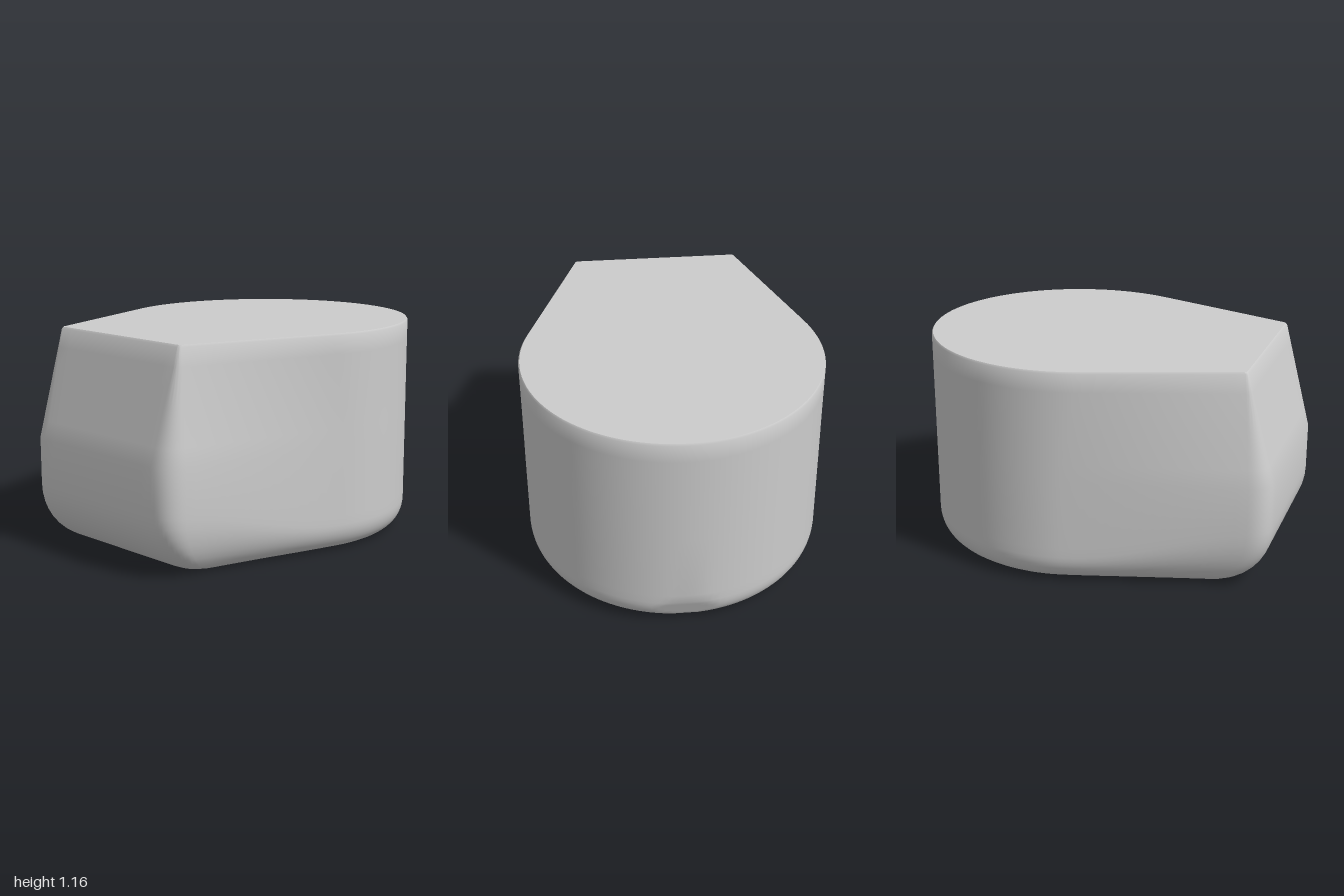
import * as THREE from 'three';
import { toCreasedNormals } from 'three/addons/utils/BufferGeometryUtils.js';

const CX = 0.205, R = 0.79;   // round end of the plan
const lerp = THREE.MathUtils.lerp;

// Closed plan outline: straight narrow end, rounded corner, straight taper, round end
function outline(endX, cornerZ, cornerR) {
  // tangent from the corner point to the round end
  const dx = endX - CX, dist = Math.hypot(dx, cornerZ);
  const tangent = Math.atan2(cornerZ, dx) - Math.acos(R / dist);
  const t = [CX + R * Math.cos(tangent), R * Math.sin(tangent)];
  const len = Math.hypot(t[0] - endX, t[1] - cornerZ);
  const dir = [(t[0] - endX) / len, (t[1] - cornerZ) / len];
  const p0 = [endX, cornerZ - cornerR];
  const p1 = [endX + dir[0] * cornerR, cornerZ + dir[1] * cornerR];
  const half = [];
  for (let i = 0; i < 6; i++) half.push([endX, p0[1] * i / 6]);
  for (let i = 0; i < 10; i++) {
    const u = i / 10, a = (1 - u) ** 2, b = 2 * u * (1 - u), c = u * u;
    half.push([a * p0[0] + b * endX + c * p1[0], a * p0[1] + b * cornerZ + c * p1[1]]);
  }
  for (let i = 0; i < 16; i++) half.push([lerp(p1[0], t[0], i / 16), lerp(p1[1], t[1], i / 16)]);
  for (let i = 0; i <= 40; i++) {
    const a = tangent * (1 - i / 40);
    half.push([CX + R * Math.cos(a), R * Math.sin(a)]);
  }
  const back = half.slice(1, -1).reverse().map(([x, z]) => [x, -z]);
  return half.concat(back);
}

function indexed(points, index) {
  const g = new THREE.BufferGeometry();
  g.setAttribute('position', new THREE.Float32BufferAttribute(points.flat(), 3));
  g.setIndex(index);
  return toCreasedNormals(g, 0.6);
}

// Skin a stack of equal-length closed rings
function loft(rings) {
  const n = rings[0].length, index = [];
  for (let k = 0; k < rings.length - 1; k++) {
    for (let j = 0; j < n; j++) {
      const a = k * n + j, b = k * n + (j + 1) % n;
      index.push(a, b, b + n, a, b + n, a + n);
    }
  }
  return indexed(rings.flat(), index);
}

// Fan that closes a ring around a centre point
function cap(ring, centre, up) {
  const n = ring.length, index = [];
  for (let j = 0; j < n; j++) {
    const k = (j + 1) % n;
    index.push(n, up ? j : k, up ? k : j);
  }
  return indexed([...ring, centre], index);
}

export function createModel() {
  const group = new THREE.Group();
  const grey = new THREE.MeshStandardMaterial({ color: 0xcccccc });
  grey.name = 'soft grey';

  const base = outline(-1, 0.525, 0.11);
  const rim = outline(-0.85, 0.46, 0.012);
  const topY = x => 1.155 + 0.005 * x;
  const floorY = x => 0.006 * (1 + x);

  // Rounded underside: broad radius at the narrow end, tighter elsewhere,
  // with a slanted flat trimming the foot of the round end
  const bottomRing = u => base.map(([x, z]) => {
    const w = THREE.MathUtils.smoothstep(-x, 0, 1);
    const inset = 1 - Math.sin(u * Math.PI / 2);
    const px = CX + (x - CX) * (1 - inset * (x < CX ? 0.25 : 0.15));
    const y = floorY(px) * inset + lerp(0.15, 0.32, w) * (1 - Math.cos(u * Math.PI / 2));
    return [Math.min(px, 0.93 + 0.39 * y), y, z * (1 - inset * 0.15)];
  });
  // Walls: upright below, then leaning in towards the rim
  const wallRing = u => base.map(([x, z], j) => [lerp(x, rim[j][0], u), lerp(0.57, topY(x) - 0.01, u), lerp(z, rim[j][1], u)]);
  const lipRing = rim.map(([x, z]) => [CX + (x - CX) * 0.992, topY(x), z * 0.992]);

  const rings = [];
  for (let i = 0; i <= 10; i++) rings.push(bottomRing(i / 10));
  rings.push(base.map(([x, z]) => [x, lerp(0.2, 0.36, THREE.MathUtils.smoothstep(-x, 0, 1)), z]));
  for (let i = 0; i <= 6; i++) rings.push(wallRing(i / 6));
  rings.push(lipRing);

  const add = (name, geometry) => {
    const mesh = new THREE.Mesh(geometry, grey);
    mesh.name = name;
    group.add(mesh);
  };
  add('body', loft(rings));
  add('underside', cap(rings[0], [0.1, floorY(0.1), 0], false));
  add('flatTop', cap(lipRing, [0, topY(0), 0], true));
  return group;
}
